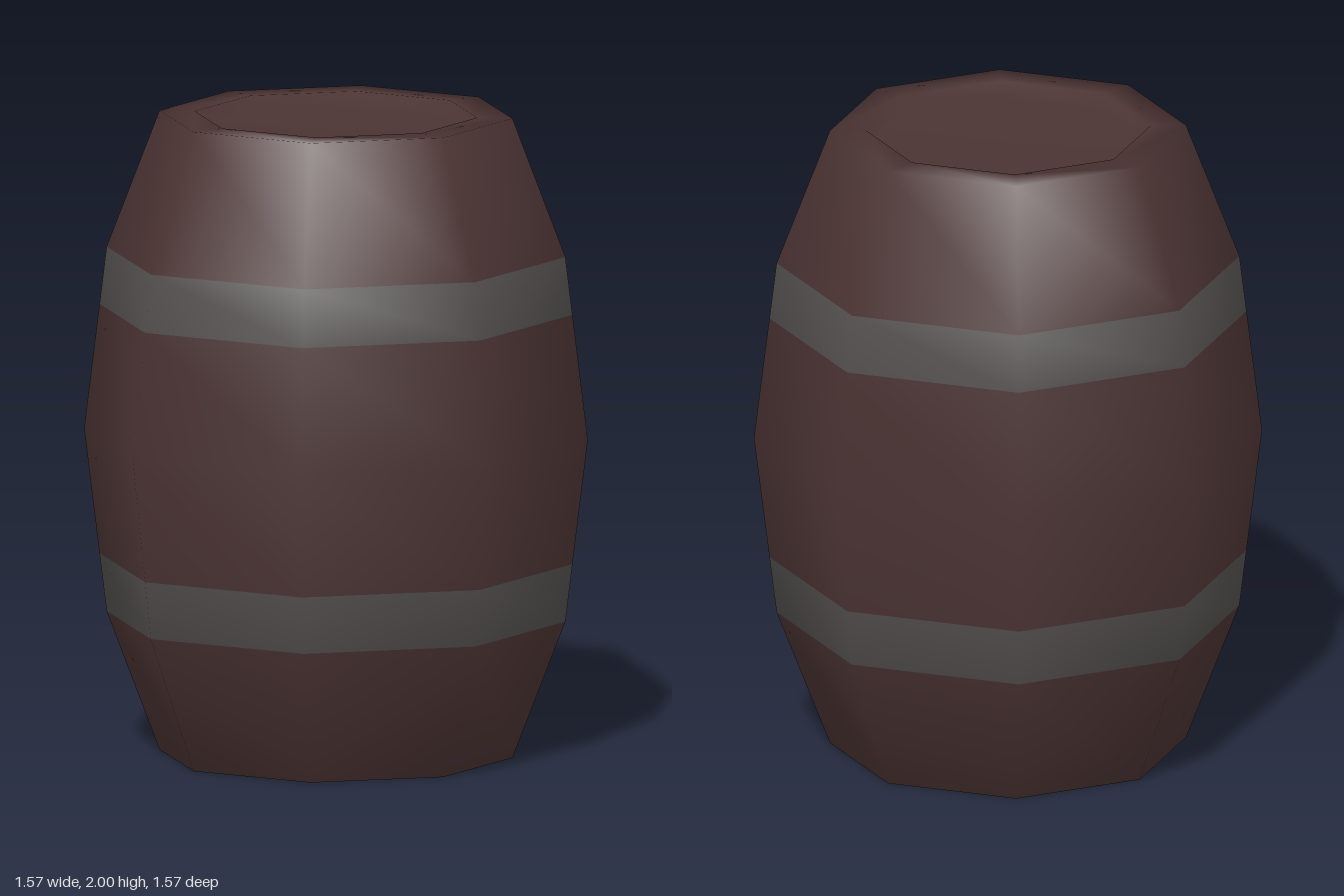
import * as THREE from 'three';

export function createModel() {
  const wood = new THREE.MeshStandardMaterial({ color: 0x4b3333 });
  wood.name = 'darkWood';
  const iron = new THREE.MeshStandardMaterial({ color: 0x524f4d });
  iron.name = 'greyIron';

  // Lower half of the profile: recessed end, flat rim, bulging staves
  const half = [
    [0, 0.05], [0.44, 0.05], [0.44, 0], [0.55, 0],
    [0.715, 0.43], [0.737, 0.61],
  ];
  const profile = [
    ...half,
    [0.785, 1],
    ...half.map(([r, y]) => [r, 2 - y]).reverse(),
  ].map(([r, y]) => new THREE.Vector2(r, y));

  // Eight-sided smooth body; the hoops are flush bands of the same surface
  const sides = 8;
  const rows = profile.length - 1;
  const hoopRows = [4, 7];
  const geometry = new THREE.LatheGeometry(profile, sides);
  for (let i = 0; i < sides; i++) {
    for (let j = 0; j < rows; j++) {
      geometry.addGroup((i * rows + j) * 6, 6, hoopRows.includes(j) ? 1 : 0);
    }
  }

  const barrel = new THREE.Mesh(geometry, [wood, iron]);
  barrel.name = 'barrelBodyWithHoops';
  const group = new THREE.Group();
  group.name = 'barrel';
  group.add(barrel);
  return group;
}
